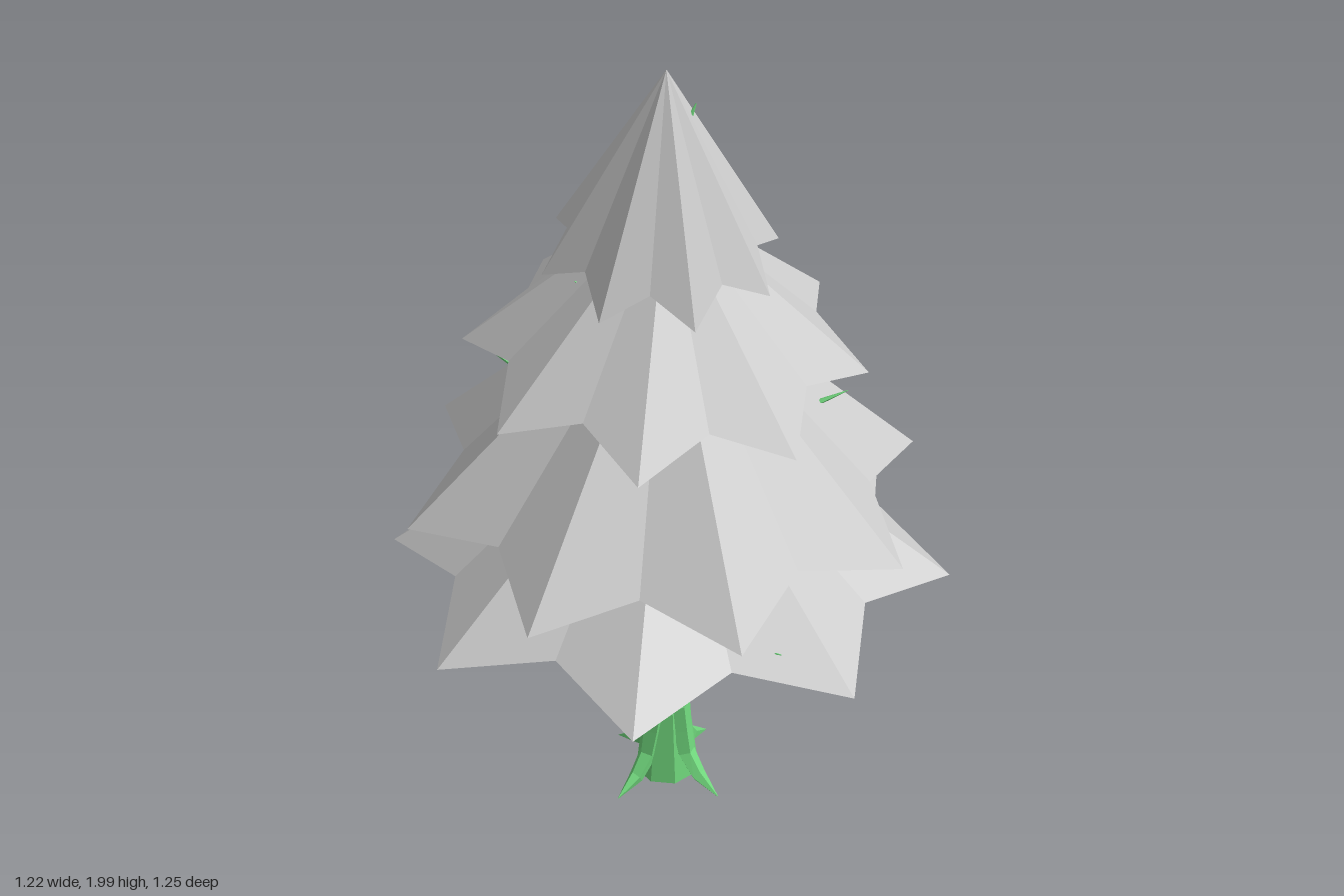
import * as THREE from 'three';

const leafMat = new THREE.MeshStandardMaterial({ color: 0xcccccc, flatShading: true, side: THREE.DoubleSide });
const woodMat = new THREE.MeshStandardMaterial({ color: 0x70d67c, flatShading: true });

// Open eight-pointed star cone hanging from its apex
function foliage(name, apexY, drop, radius, turn, tilt) {
  const rim = [];
  for (let i = 0; i <= 16; i++) {
    const a = turn + (i * Math.PI) / 8;
    const valley = i % 2 === 1;
    const r = valley ? radius * 0.775 : radius;
    rim.push([Math.sin(a) * r, -drop + (valley ? 0.055 : 0), Math.cos(a) * r]);
  }
  const pos = [];
  for (let i = 0; i < 16; i++) pos.push(0, 0, 0, ...rim[i], ...rim[i + 1]);
  const geo = new THREE.BufferGeometry();
  geo.setAttribute('position', new THREE.Float32BufferAttribute(pos, 3));
  geo.computeVertexNormals();
  const mesh = new THREE.Mesh(geo, leafMat);
  mesh.name = name;
  mesh.position.y = apexY;
  mesh.rotation.x = tilt;
  return mesh;
}

// Five-sided tube that tapers along a path, closed to a point at its end
function limb(name, points, r0, r1) {
  const curve = new THREE.CatmullRomCurve3(points.map(p => new THREE.Vector3(...p)), false, 'centripetal');
  const segments = (points.length - 1) * 2, sides = 5;
  const geo = new THREE.TubeGeometry(curve, segments, 1, sides);
  const pos = geo.attributes.position;
  const v = new THREE.Vector3();
  for (let i = 0; i <= segments; i++) {
    const centre = curve.getPointAt(i / segments);
    const r = i === segments ? 0.001 : r0 + (r1 - r0) * (i / segments);
    for (let j = 0; j <= sides; j++) {
      const k = i * (sides + 1) + j;
      v.fromBufferAttribute(pos, k).sub(centre).multiplyScalar(r).add(centre);
      pos.setXYZ(k, v.x, Math.max(v.y, 0), v.z);
    }
  }
  geo.computeVertexNormals();
  const mesh = new THREE.Mesh(geo, woodMat);
  mesh.name = name;
  return mesh;
}

export function createModel() {
  const tree = new THREE.Group();
  tree.name = 'pineTree';

  // Foliage tiers, alternately turned and slightly tilted
  const half = Math.PI / 8;
  tree.add(
    foliage('topFoliage', 2, 0.49, 0.27, 0, 0.085),
    foliage('upperFoliage', 1.69, 0.43, 0.46, half, 0.045),
    foliage('middleFoliage', 1.52, 0.62, 0.61, 0, 0.015),
    foliage('lowerFoliage', 1.22, 0.515, 0.66, half, -0.042)
  );

  // Trunk with flared foot
  const profile = [[0, 0.015], [0.08, 0.015], [0.056, 0.23], [0.048, 0.42], [0.04, 0.77], [0.03, 1.2], [0.018, 1.7], [0, 1.85]];
  const trunk = new THREE.Mesh(
    new THREE.LatheGeometry(profile.map(p => new THREE.Vector2(...p)), 8), woodMat);
  trunk.name = 'trunk';
  tree.add(trunk);

  // Roots spreading from the foot
  const roots = [[-0.15, 0.09], [0.09, 0.15], [0.13, -0.09], [-0.09, -0.13]];
  for (const [x, z] of roots) {
    tree.add(limb('root', [[x * 0.2, 0.24, z * 0.2], [x * 0.45, 0.07, z * 0.45], [x, 0.013, z]], 0.034, 0.014));
  }

  // Low front branch with its twigs
  tree.add(
    limb('frontBranch', [[0, 0.565, 0.02], [0.005, 0.595, 0.2], [0.01, 0.74, 0.38], [0.05, 0.79, 0.46], [0.115, 0.805, 0.53]], 0.024, 0.006),
    limb('frontTwig', [[0, 0.59, 0.19], [-0.07, 0.61, 0.13], [-0.11, 0.64, 0.13], [-0.14, 0.685, 0.155]], 0.01, 0.004),
    limb('frontTwig', [[0.005, 0.62, 0.24], [0.03, 0.67, 0.28], [0.07, 0.72, 0.3]], 0.01, 0.004)
  );

  // Branches inside the crown, tips poking through the foliage
  const branches = [
    [0.96, [0.41, 1.145, 0.07], 0.02],
    [0.96, [-0.365, 1.2, -0.25], 0.02],
    [1.27, [0.2, 1.425, -0.185], 0.014],
    [1.36, [-0.2, 1.49, -0.03], 0.014],
    [1.6, [0.065, 1.78, -0.13], 0.009],
    [1.75, [0.065, 1.91, 0], 0.008]
  ];
  for (const [y, [x, ty, z], r] of branches) {
    const rise = ty - y;
    tree.add(limb('crownBranch', [[0, y, 0], [x * 0.4, y + rise * 0.2, z * 0.4], [x * 0.75, y + rise * 0.75, z * 0.75], [x, ty, z]], r, 0.005));
  }
  return tree;
}
